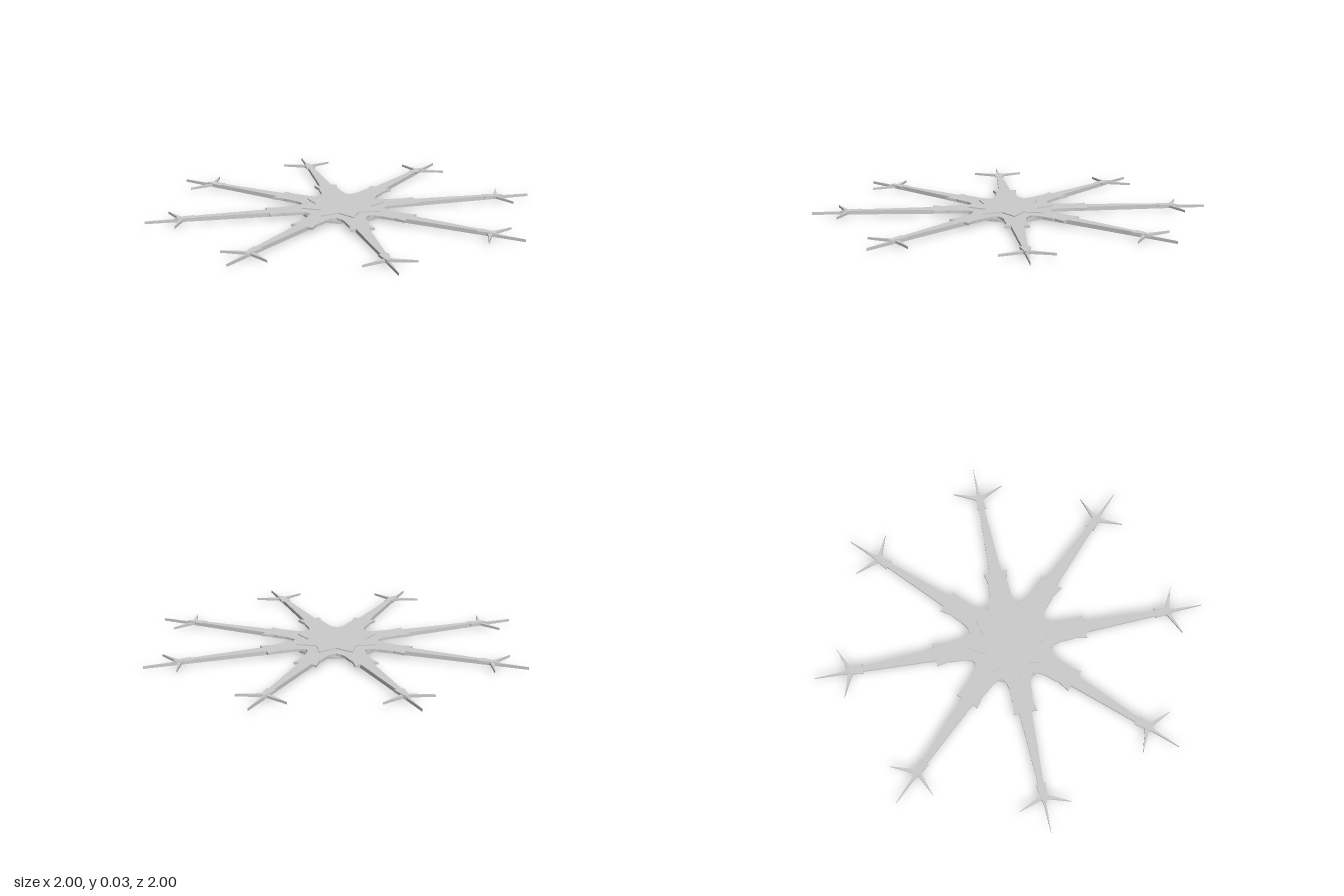
import * as THREE from 'three';

const ARMS = 8;
const material = new THREE.MeshStandardMaterial({ color: 0xcccccc, flatShading: true });

// Flat plate cut from an outline, lying between heights y0 and y1
function plate(name, points, y0, y1) {
  const shape = new THREE.Shape(points.map(([x, y]) => new THREE.Vector2(x, y)));
  const geometry = new THREE.ExtrudeGeometry(shape, { depth: y1 - y0, bevelEnabled: false });
  geometry.rotateX(-Math.PI / 2);
  geometry.translate(0, y0, 0);
  const mesh = new THREE.Mesh(geometry, material);
  mesh.name = name;
  return mesh;
}

// Mirror a half outline, given as [distance along arm, half width]
function mirrored(half) {
  const other = half.filter(([, w]) => w > 0).reverse();
  return [...half.map(([r, w]) => [r, -w]), ...other];
}

function starOutline(outer, inner) {
  return Array.from({ length: ARMS * 2 }, (_, i) => {
    const a = (i * Math.PI) / ARMS;
    const r = i % 2 ? inner : outer;
    return [r * Math.cos(a), r * Math.sin(a)];
  });
}

function createArm() {
  const arm = new THREE.Group();

  // Long tapering spike running out to the point
  arm.add(plate('spike', mirrored([[0, 0.047], [1, 0]]), 0.007, 0.021));

  // Raised overlay: flared root, stepped shoulder, slim shaft and end collar
  arm.add(plate('armOverlay', mirrored([
    [0, 0.01], [0.195, 0.08], [0.215, 0.064], [0.25, 0.055], [0.31, 0.053],
    [0.325, 0.048], [0.388, 0.061], [0.385, 0.031], [0.757, 0.014],
    [0.755, 0.025], [0.805, 0.018], [0.836, 0.012], [0.85, 0],
  ]), 0.016, 0.028));

  // Swept cross barbs near the tip
  arm.add(plate('barbs', mirrored([
    [0.8, 0.012], [0.815, 0.022], [0.87, 0.13], [0.834, 0.014], [0.85, 0.008], [0.86, 0],
  ]), 0.012, 0.024));
  return arm;
}

export function createModel() {
  const model = new THREE.Group();
  model.name = 'eightPointedStar';

  // Round base disc
  const disc = new THREE.Mesh(new THREE.CylinderGeometry(0.215, 0.215, 0.014, 48), material);
  disc.name = 'baseDisc';
  disc.position.y = 0.007;
  model.add(disc);

  // Eight identical arms
  for (let i = 0; i < ARMS; i++) {
    const arm = createArm();
    arm.name = 'arm' + (i + 1);
    arm.rotation.y = (i * Math.PI * 2) / ARMS;
    model.add(arm);
  }

  // Raised centre star
  model.add(plate('centreStar', starOutline(0.215, 0.14), 0.02, 0.033));
  return model;
}
